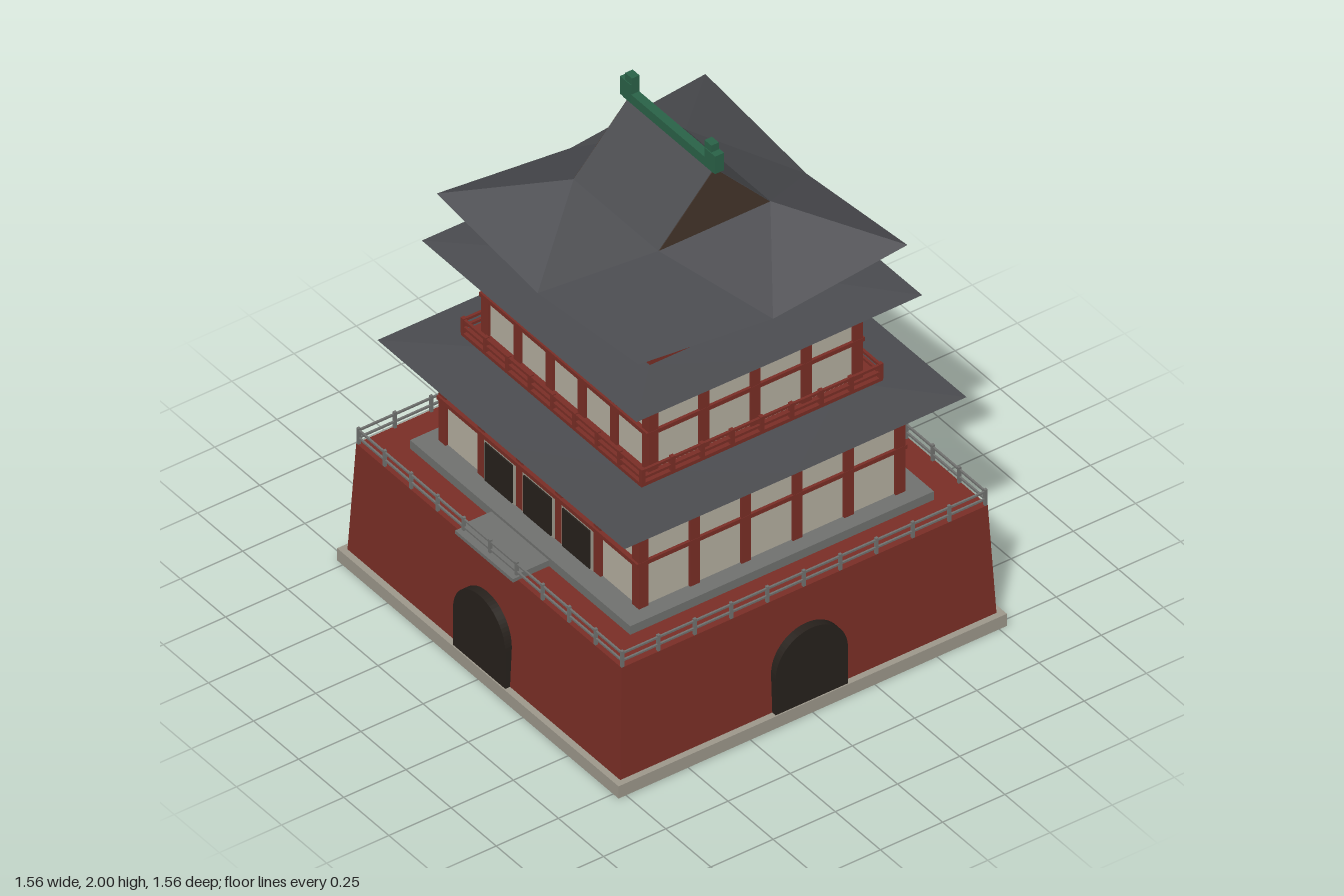
import * as THREE from 'three';

const mat = (color, extra = {}) => new THREE.MeshStandardMaterial({ color, ...extra });
const RED = mat(0x7a2e26), CREAM = mat(0xb5afa0), DARK = mat(0x27211c), STONE = mat(0x9d988b);
const GREY = mat(0x70716f), FLOOR = mat(0x9d988b), GREEN = mat(0x2a6248), BROWN = mat(0x44352b);
const ROOF = mat(0x4b4c50, { flatShading: true });

function add(parent, name, geometry, material, x = 0, y = 0, z = 0) {
  const mesh = new THREE.Mesh(geometry, material);
  mesh.name = name;
  mesh.position.set(x, y, z);
  parent.add(mesh);
  return mesh;
}

// Box given by its width, depth, bottom and top
const block = (parent, name, material, w, d, y0, y1, x = 0, z = 0) =>
  add(parent, name, new THREE.BoxGeometry(w, y1 - y0, d), material, x, (y0 + y1) / 2, z);

function group(parent, name) {
  const g = new THREE.Group();
  g.name = name;
  parent.add(g);
  return g;
}

// Roof skin from rectangular rings [halfX, halfZ, cornerY, middleY], in order from the
// underside outwards and up to the top; both ends are closed
function roofGeometry(rings) {
  const pos = [];
  const steps = [[0, 1], [1, 1], [1, 0], [1, -1], [0, -1], [-1, -1], [-1, 0], [-1, 1]];
  const pts = rings.map(([hx, hz, yc, ym]) =>
    steps.map(([sx, sz]) => [sx * hx, sx && sz ? yc : ym, sz * hz]));
  const last = pts.length - 1;
  for (let i = 0; i < 8; i++) {
    const j = (i + 1) % 8;
    for (let r = 0; r < last; r++) {
      const [a, b, c, d] = [pts[r][i], pts[r][j], pts[r + 1][j], pts[r + 1][i]];
      // split every quad from its corner side so the hips stay symmetrical
      if (i % 2) pos.push(...a, ...b, ...d, ...b, ...c, ...d);
      else pos.push(...a, ...b, ...c, ...a, ...c, ...d);
    }
    pos.push(0, rings[0][3], 0, ...pts[0][j], ...pts[0][i]);
    pos.push(0, rings[last][3], 0, ...pts[last][i], ...pts[last][j]);
  }
  const g = new THREE.BufferGeometry();
  g.setAttribute('position', new THREE.Float32BufferAttribute(pos, 3));
  g.computeVertexNormals();
  return g;
}

// Timber storey: plain walls, posts in even bays, middle and top beams
function storey(parent, name, hx, hz, y0, y1, baysX, baysZ, midY) {
  const g = group(parent, name), p = 0.038;
  block(g, 'walls', CREAM, 2 * hx - 0.02, 2 * hz - 0.02, y0, y1);
  const px = hx - p / 2, pz = hz - p / 2;
  for (const s of [-1, 1]) {
    for (let i = 0; i <= baysX; i++)
      block(g, 'post', RED, p, p, y0, y1 - 0.005, -px + (2 * px * i) / baysX, s * pz);
    for (let i = 1; i < baysZ; i++)
      block(g, 'post', RED, p, p, y0, y1 - 0.005, s * px, -pz + (2 * pz * i) / baysZ);
    for (const [a, b] of [[midY - 0.008, midY + 0.008], [y1 - 0.026, y1]]) {
      block(g, 'beam', RED, 2 * hx, 0.03, a, b, 0, s * (hz - 0.007));
      block(g, 'beam', RED, 0.03, 2 * hz, a, b, s * (hx - 0.014), 0);
    }
  }
  return g;
}

// Railing around a rectangle
function railing(parent, name, material, hx, hz, y0, y1, bays, t) {
  const g = group(parent, name);
  for (const s of [-1, 1]) {
    for (let i = 0; i <= bays; i++) {
      const f = -1 + (2 * i) / bays;
      block(g, 'railPost', material, t * 1.5, t * 1.5, y0, y1, f * hx, s * hz);
      if (i && i < bays) block(g, 'railPost', material, t * 1.5, t * 1.5, y0, y1, s * hx, f * hz);
    }
    for (const f of [0.4, 0.85]) {
      const y = y0 + (y1 - y0) * f;
      block(g, 'rail', material, 2 * hx, t, y - t / 2, y + t / 2, 0, s * hz);
      block(g, 'rail', material, t, 2 * hz, y - t / 2, y + t / 2, s * hx, 0);
    }
  }
}

export function createModel() {
  const model = new THREE.Group();
  model.name = 'gateTower';

  // Stone kerb around the foot
  for (const s of [-1, 1]) {
    block(model, 'plinth', STONE, 1.56, 0.03, 0, 0.05, 0, s * 0.765);
    block(model, 'plinth', STONE, 0.03, 1.5, 0, 0.05, s * 0.765, 0);
  }
  block(model, 'underside', FLOOR, 1.45, 1.45, 0.012, 0.03);

  // Battered masonry base
  const base = new THREE.BoxGeometry(1.515, 0.475, 1.515);
  const bp = base.attributes.position;
  for (let i = 0; i < bp.count; i++)
    if (bp.getY(i) > 0) bp.setXYZ(i, bp.getX(i) * 0.971, bp.getY(i), bp.getZ(i) * 0.971);
  base.computeVertexNormals();
  add(model, 'base', base, RED, 0, 0.2525, 0);

  // Arched gates on all four sides
  const arch = new THREE.Shape();
  arch.moveTo(-0.145, 0);
  arch.lineTo(0.145, 0);
  arch.lineTo(0.145, 0.2);
  arch.absarc(0, 0.2, 0.145, 0, Math.PI, false);
  arch.closePath();
  const gate = new THREE.ExtrudeGeometry(arch, { depth: 0.06, bevelEnabled: false, curveSegments: 16 });
  gate.translate(0, 0, 0.715);
  for (let i = 0; i < 4; i++) add(model, 'gate', gate, DARK).rotation.y = (i * Math.PI) / 2;

  // Terrace: railing, platform and front steps
  railing(model, 'terraceRailing', GREY, 0.73, 0.73, 0.488, 0.555, 10, 0.007);
  block(model, 'platform', GREY, 1.22, 1.22, 0.488, 0.525);
  block(model, 'frontStep', GREY, 0.32, 0.16, 0.488, 0.502, 0, 0.675);
  block(model, 'frontStep', GREY, 0.32, 0.125, 0.502, 0.514, 0, 0.6625);

  // Lower storey with three front doors
  const lower = storey(model, 'lowerStorey', 0.555, 0.535, 0.525, 0.9, 5, 5, 0.705);
  for (const x of [-0.215, 0, 0.215]) {
    block(lower, 'doorFrame', STONE, 0.172, 0.02, 0.525, 0.695, x, 0.528);
    block(lower, 'door', DARK, 0.152, 0.026, 0.53, 0.685, x, 0.53);
  }
  add(model, 'lowerEave', roofGeometry([
    [0.44, 0.44, 0.908, 0.908], [0.685, 0.687, 0.925, 0.922],
    [0.4, 0.4, 0.939, 0.939], [0.2, 0.22, 0.975, 0.975],
  ]), ROOF);

  // Balcony and upper storey
  block(model, 'balconyFloor', RED, 1.0, 0.97, 0.97, 0.984);
  railing(model, 'balconyRailing', RED, 0.495, 0.478, 0.98, 1.042, 8, 0.01);
  storey(model, 'upperStorey', 0.465, 0.43, 0.98, 1.305, 5, 4, 1.14);
  add(model, 'upperEave', roofGeometry([
    [0.46, 0.44, 1.325, 1.325], [0.595, 0.574, 1.34, 1.337], [0.385, 0.37, 1.352, 1.352],
  ]), ROOF);

  // Attic and hip-and-gable roof
  block(model, 'attic', RED, 0.775, 0.74, 1.34, 1.484);
  add(model, 'mainRoof', roofGeometry([
    [0.56, 0.54, 1.54, 1.482], [0.235, 0.225, 1.66, 1.66], [0.235, 0, 1.9, 1.9],
  ]), ROOF);
  const tri = new THREE.Shape([
    new THREE.Vector2(-0.222, 1.661), new THREE.Vector2(0.222, 1.661), new THREE.Vector2(0, 1.898),
  ]);
  const gable = new THREE.ExtrudeGeometry(tri, { depth: 0.004, bevelEnabled: false });
  gable.translate(0, 0, 0.233);
  for (const s of [-1, 1]) add(model, 'gable', gable, BROWN).rotation.y = (s * Math.PI) / 2;

  // Ridge with end ornaments
  block(model, 'ridge', GREEN, 0.5, 0.032, 1.895, 1.932);
  for (const s of [-1, 1]) {
    block(model, 'ridgeEnd', GREEN, 0.06, 0.036, 1.9, 1.972, s * 0.234);
    block(model, 'ridgeFinial', GREEN, 0.038, 0.03, 1.95, 2.0, s * 0.22);
  }
  return model;
}
